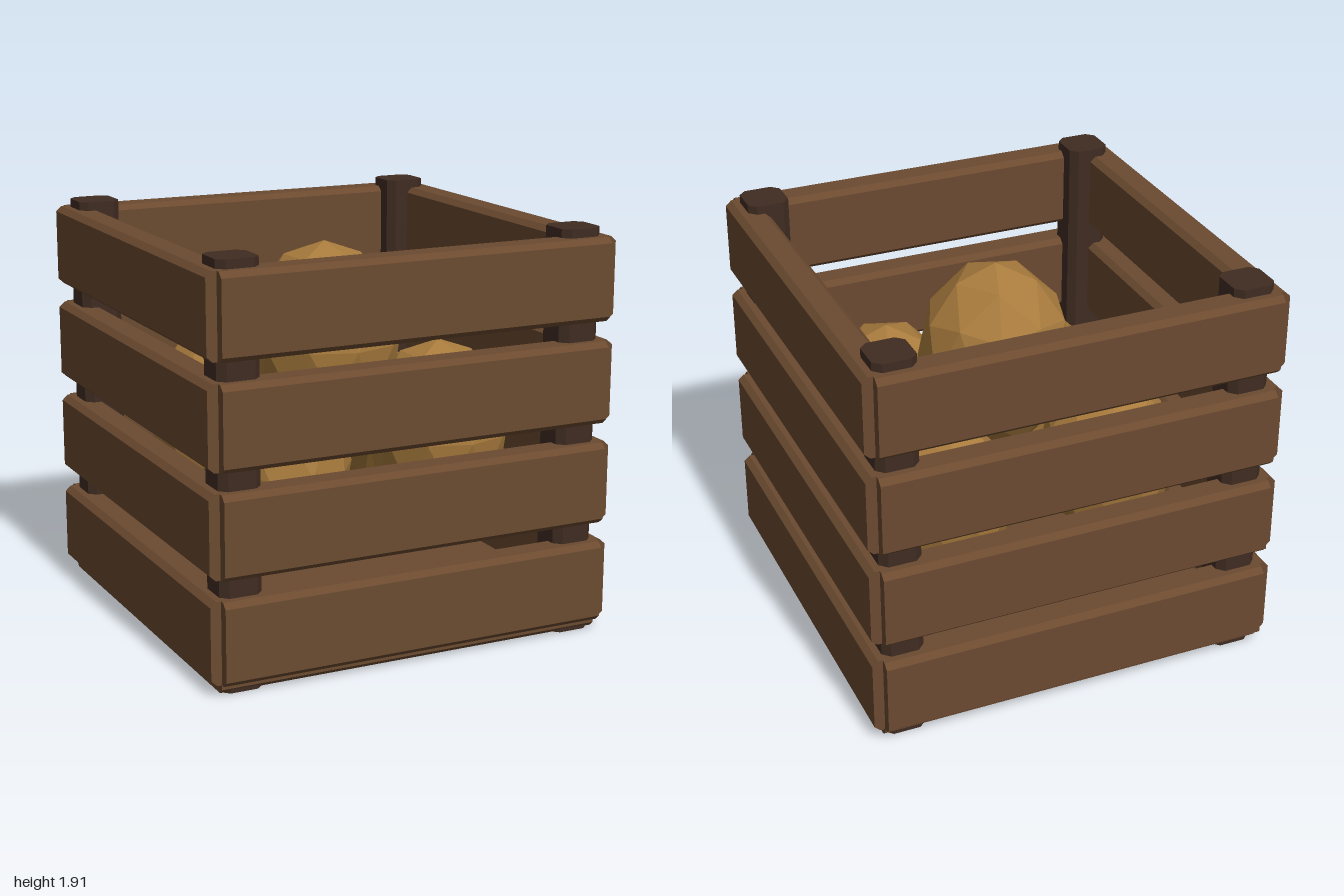
import * as THREE from 'three';

const material = (color) => new THREE.MeshStandardMaterial({ color, flatShading: true });

// Bar with a chamfered rectangular section (w x h), extruded and centred along z
function chamferedBar(w, h, length, cx, cy) {
  const x = w / 2, y = h / 2;
  const shape = new THREE.Shape([
    [x, -y + cy], [x, y - cy], [x - cx, y], [-x + cx, y],
    [-x, y - cy], [-x, -y + cy], [-x + cx, -y], [x - cx, -y],
  ].map(([a, b]) => new THREE.Vector2(a, b)));
  const geometry = new THREE.ExtrudeGeometry(shape, { depth: length, bevelEnabled: false });
  return geometry.translate(0, 0, -length / 2);
}

export function createModel() {
  const crate = new THREE.Group();
  crate.name = 'crate';
  const wood = material(0x6b4a30);
  const darkWood = material(0x402c22);
  const produce = material(0xa87b3d);

  const add = (name, geometry, mat, x, y, z) => {
    const mesh = new THREE.Mesh(geometry, mat);
    mesh.name = name;
    mesh.position.set(x, y, z);
    crate.add(mesh);
    return mesh;
  };

  // Four rows of slats around the sides
  const slat = chamferedBar(0.16, 0.385, 1.9, 0.028, 0.025);
  for (let row = 0; row < 4; row++) {
    const y = 0.243 + row * 0.478;
    for (const s of [-1, 1]) {
      add(s > 0 ? 'leftSlat' : 'rightSlat', slat, wood, s * 0.92, y, 0);
      add(s > 0 ? 'frontSlat' : 'backSlat', slat, wood, 0, y, s * 0.92).rotation.y = Math.PI / 2;
    }
  }

  // Floor board
  const floor = chamferedBar(1.9, 0.18, 1.9, 0.025, 0.022);
  add('floor', floor, wood, 0, 0.095, 0).rotation.y = Math.PI / 2;

  // Corner posts
  const post = chamferedBar(0.2, 0.2, 1.91, 0.035, 0.035).rotateX(-Math.PI / 2);
  for (const x of [-0.84, 0.84]) {
    for (const z of [-0.84, 0.84]) add('cornerPost', post, darkWood, x, 0.955, z);
  }

  // Faceted round produce, one vertex pointing straight up, stretched in height
  const ball = new THREE.IcosahedronGeometry(1, 1);
  ball.rotateZ(-Math.atan(2 / (1 + Math.sqrt(5))));
  const balls = [
    [-0.4, 0.88, -0.4, 0.33],
    [0.4, 0.835, -0.4, 0.3],
    [-0.4, 0.84, 0.4, 0.315],
    [0.4, 0.91, 0.4, 0.34],
    [0, 1.305, 0, 0.37],
  ];
  for (const [x, y, z, r] of balls) {
    add('produce', ball, produce, x, y, z).scale.set(r, r * 1.27, r);
  }

  return crate;
}
